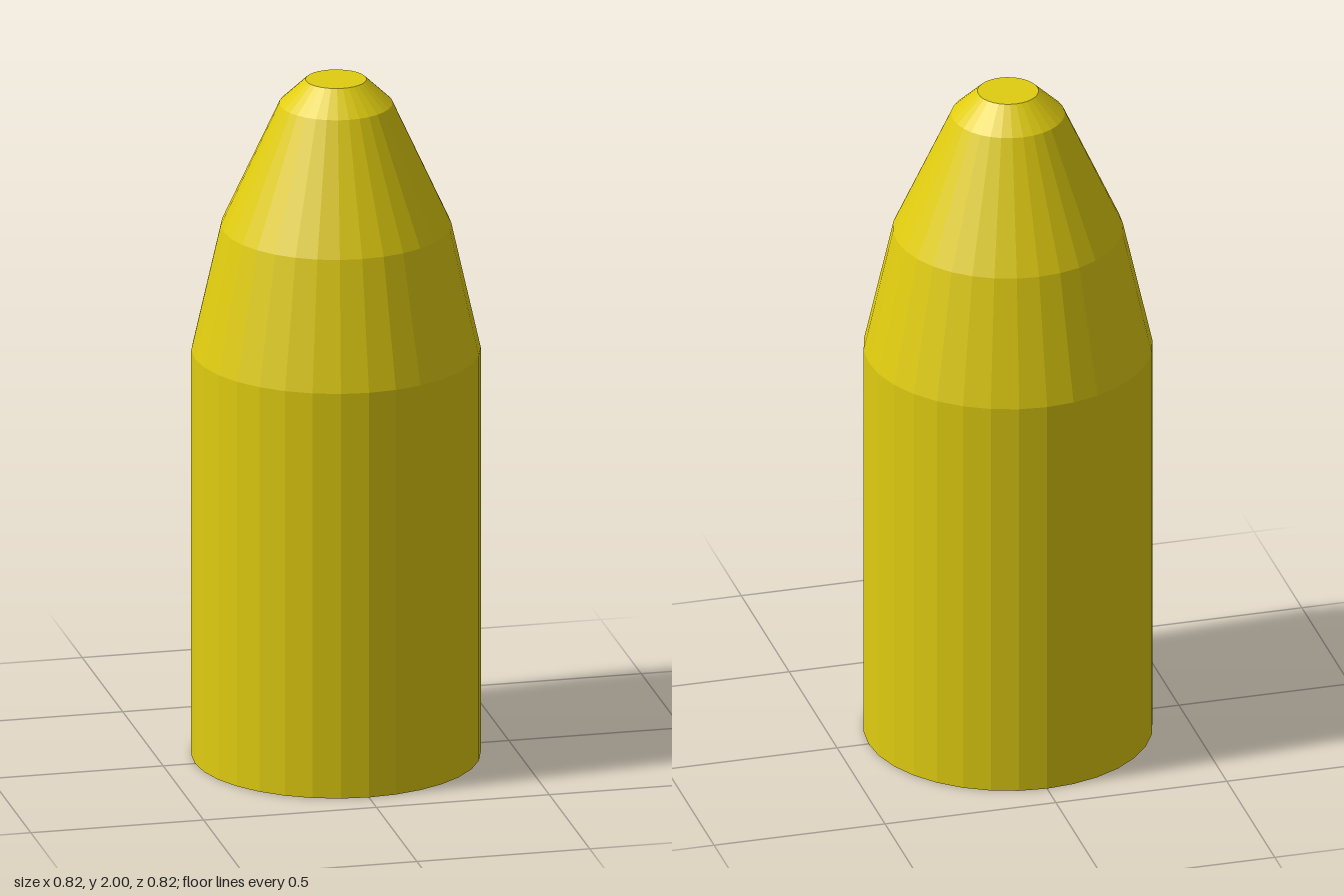
import * as THREE from 'three';

const SIDES = 32;
const RADIUS = 0.408;
const SHOULDER = 1.2;

export function createModel() {
  const group = new THREE.Group();
  group.name = 'roundNosedCylinder';
  const material = new THREE.MeshStandardMaterial({ color: 0xe0cc10, flatShading: true });

  // Turns a profile of [radius, height] pairs around the y axis
  const addTurned = (name, profile) => {
    const points = profile.map(([r, y]) => new THREE.Vector2(r, y));
    const mesh = new THREE.Mesh(new THREE.LatheGeometry(points, SIDES), material);
    mesh.name = name;
    group.add(mesh);
  };

  // Straight body with a closed base
  addTurned('body', [[0, 0], [RADIUS, 0], [RADIUS, SHOULDER]]);

  // Faceted nose, tapering in three steps to a flat tip
  addTurned('nose', [[RADIUS, SHOULDER], [0.325, 1.57], [0.16, 1.93], [0.086, 2], [0, 2]]);

  return group;
}
